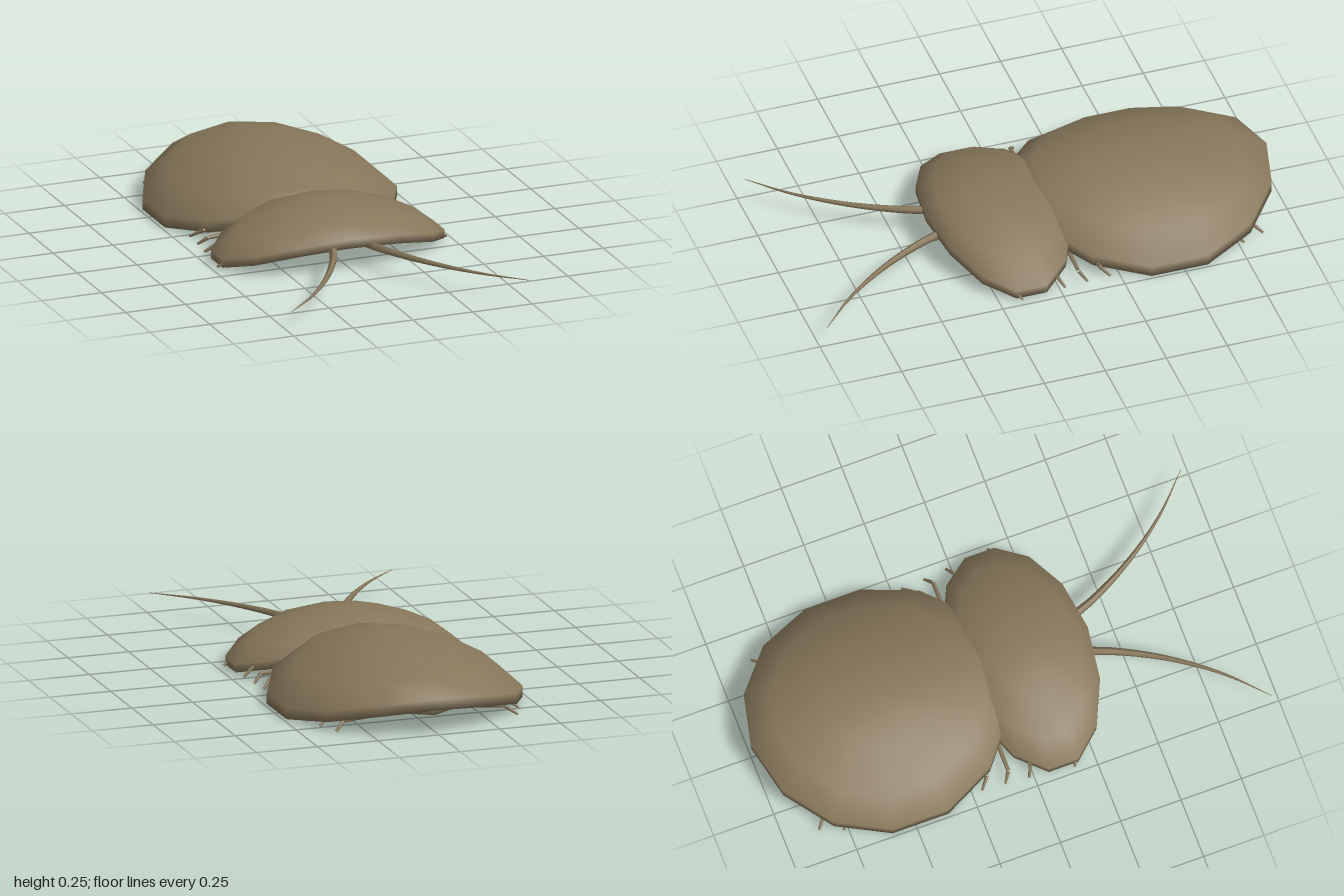
import * as THREE from 'three';
import { mergeVertices } from 'three/addons/utils/BufferGeometryUtils.js';

export function createModel() {
  const model = new THREE.Group();
  const chitin = new THREE.MeshStandardMaterial({ color: 0x87775b });
  chitin.name = 'dull brown chitin';

  // Low ellipsoid with separate upper and lower heights, drooping towards its sides
  function shell(name, rx, top, bottom, rz, y, z, droop) {
    const g = new THREE.SphereGeometry(1, 14, 7, Math.PI / 2);
    const p = g.attributes.position;
    for (let i = 0; i < p.count; i++) {
      const x = p.getX(i) * rx, h = p.getY(i);
      p.setXYZ(i, x, y + h * (h > 0 ? top : bottom) - droop * x * x, z + p.getZ(i) * rz);
    }
    g.deleteAttribute('normal');
    g.deleteAttribute('uv');
    const smooth = mergeVertices(g, 1e-5);
    smooth.computeVertexNormals();
    const mesh = new THREE.Mesh(smooth, chitin);
    mesh.name = name;
    model.add(mesh);
  }
  shell('abdomenShell', 0.511, 0.141, 0.055, 0.533, 0.114, -0.48, 0.42);
  shell('headShell', 0.489, 0.101, 0.055, 0.282, 0.115, 0.12, 0.42);
  shell('belly', 0.225, 0.06, 0.055, 0.6, 0.08, -0.36, 0.1);

  // Tapered round limb along a curve
  function limb(parent, name, curve, r0, r1, steps, sides) {
    const g = new THREE.TubeGeometry(curve, steps, 1, sides, false);
    const p = g.attributes.position;
    const c = new THREE.Vector3(), v = new THREE.Vector3();
    for (let i = 0; i <= steps; i++) {
      curve.getPointAt(i / steps, c);
      const r = r0 + (r1 - r0) * i / steps;
      for (let j = 0; j <= sides; j++) {
        const k = i * (sides + 1) + j;
        v.fromBufferAttribute(p, k).sub(c).multiplyScalar(r).add(c);
        p.setXYZ(k, v.x, v.y, v.z);
      }
    }
    g.computeVertexNormals();
    const mesh = new THREE.Mesh(g, chitin);
    mesh.name = name;
    parent.add(mesh);
  }

  // Leg rows: knee x, foot x, hip z, foot z
  const legs = [
    [0.43, 0.48, 0.19, 0.16], [0.43, 0.465, 0.085, 0.065],
    [0.42, 0.46, 0.0, -0.02], [0.415, 0.45, -0.09, -0.115],
    [0.405, 0.445, -0.175, -0.21], [0.4, 0.44, -0.655, -0.685],
    [0.37, 0.41, -0.74, -0.77], [0.33, 0.375, -0.82, -0.86],
  ];
  for (const side of [1, -1]) {
    const word = side > 0 ? 'left' : 'right';
    const at = (x, y, z) => new THREE.Vector3(side * x, y, z);

    // Sweeping antennae
    limb(model, word + 'Antenna', new THREE.CatmullRomCurve3([
      at(0.07, 0.095, 0.34), at(0.115, 0.095, 0.46), at(0.215, 0.094, 0.645),
      at(0.35, 0.092, 0.825), at(0.5, 0.09, 0.97),
    ]), 0.018, 0.001, 14, 6);

    // Short jointed legs tucked below the shells
    legs.forEach(([kx, fx, z, fz], i) => {
      const leg = new THREE.Group();
      leg.name = word + 'Leg' + (i + 1);
      const knee = at(kx, 0.042, z);
      limb(leg, 'thigh', new THREE.LineCurve3(at(0.15, 0.06, z), knee), 0.009, 0.008, 1, 6);
      limb(leg, 'shin', new THREE.LineCurve3(knee, at(fx, 0.012, fz)), 0.008, 0.005, 1, 6);
      model.add(leg);
    });
  }
  return model;
}
